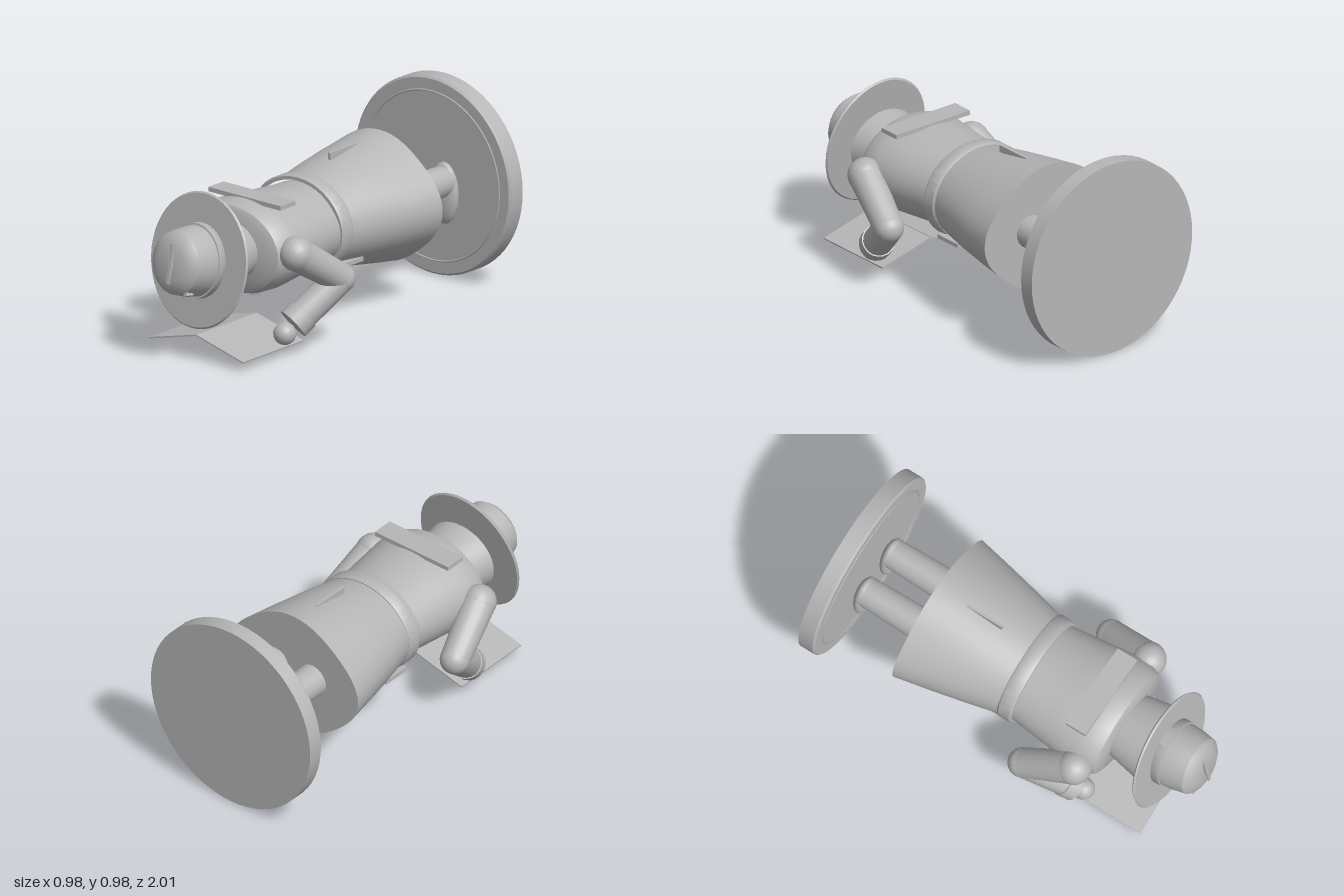
import * as THREE from 'three';
import { toCreasedNormals } from 'three/addons/utils/BufferGeometryUtils.js';

export function createModel() {
  const model = new THREE.Group();
  model.name = 'recliningReaderFigure';
  const gray = new THREE.MeshStandardMaterial({ color: 0xb6b6b6 });
  gray.name = 'plain gray';

  // The figure is built standing (y up, facing +z) and then laid face down.
  const figure = new THREE.Group();
  figure.name = 'figure';
  figure.rotation.x = Math.PI / 2;
  figure.position.set(0, 0.49, -1);
  model.add(figure);

  const add = (name, geo, x = 0, y = 0, z = 0, parent = figure) => {
    const m = new THREE.Mesh(geo, gray);
    m.name = name;
    m.position.set(x, y, z);
    parent.add(m);
    return m;
  };
  const box = (name, w, h, d, x, y, z, parent) =>
    add(name, new THREE.BoxGeometry(w, h, d), x, y, z, parent);
  const ball = (name, r, p, sx = 1, sy = 1, sz = 1) => {
    const m = add(name, new THREE.SphereGeometry(r, 20, 14), p.x, p.y, p.z);
    m.scale.set(sx, sy, sz);
    return m;
  };
  // Turned part with an elliptical section; profile runs bottom to top.
  const turned = (name, profile, depth, parent, segs = 40) => {
    const geo = new THREE.LatheGeometry(profile.map(([r, y]) => new THREE.Vector2(r, y)), segs);
    geo.scale(1, 1, depth);
    return add(name, toCreasedNormals(geo, 0.6), 0, 0, 0, parent);
  };
  const limb = (name, a, b, ra, rb) => {
    const m = add(name, new THREE.CylinderGeometry(rb, ra, a.distanceTo(b), 18));
    m.position.copy(a).lerp(b, 0.5);
    m.quaternion.setFromUnitVectors(new THREE.Vector3(0, 1, 0), b.clone().sub(a).normalize());
    return m;
  };
  const V = (x, y, z) => new THREE.Vector3(x, y, z);

  // Base disc with a fine decorative ring
  turned('base', [[0, 0], [0.49, 0], [0.49, 0.08], [0.48, 0.09], [0, 0.09]], 1, figure, 64);
  const ring = add('baseRing', new THREE.TorusGeometry(0.42, 0.005, 6, 64), 0, 0.09, 0);
  ring.rotation.x = Math.PI / 2;

  // Coat skirt: folds deepen toward the hem
  const skirt = turned('coatSkirt', [[0, 0.47], [0.395, 0.47], [0.36, 0.64], [0.32, 0.82], [0.275, 1.0]], 0.82, figure, 64);
  const pos = skirt.geometry.attributes.position;
  for (let i = 0; i < pos.count; i++) {
    const x = pos.getX(i), z = pos.getZ(i);
    const fold = 0.035 * Math.max(0, (1 - pos.getY(i)) / 0.53);
    const s = 1 - fold * (1 - Math.cos(4 * Math.atan2(z / 0.82, x)));
    pos.setXYZ(i, x * s, pos.getY(i), z * s);
  }
  skirt.geometry = toCreasedNormals(skirt.geometry, 0.6);

  // Belt, torso and flared collar
  turned('belt', [[0.26, 0.985], [0.28, 0.985], [0.287, 0.995], [0.287, 1.055], [0.28, 1.065], [0.26, 1.065]], 0.835);
  turned('torso', [[0.268, 1.0], [0.27, 1.08], [0.29, 1.25], [0.31, 1.42], [0.305, 1.5], [0.285, 1.535], [0.25, 1.55], [0, 1.55]], 0.74);
  turned('collar', [[0.165, 1.53], [0.2, 1.71], [0.18, 1.71], [0, 1.69]], 0.85);
  ball('head', 0.14, V(0, 1.7, 0.01), 1, 1.1, 0.95);

  // Hat, tipped forward-up
  const hat = new THREE.Group();
  hat.name = 'hat';
  hat.position.set(0, 1.775, 0);
  hat.rotation.x = -0.165;
  figure.add(hat);
  turned('hatBrim', [[0, -0.008], [0.293, -0.008], [0.3, 0], [0.293, 0.008], [0, 0.008]], 1.1, hat, 48);
  turned('hatBand', [[0.164, 0], [0.167, 0.005], [0.166, 0.05], [0.158, 0.05]], 1.1, hat);
  turned('hatCrown', [[0.163, 0], [0.158, 0.1], [0.145, 0.175], [0.125, 0.195], [0.085, 0.215], [0, 0.205]], 1.06, hat);
  box('crownCrease', 0.018, 0.02, 0.2, 0, 0.21, 0, hat);
  for (const s of [-1, 1]) {
    const pinch = box('crownPinch', 0.02, 0.05, 0.03, s * 0.075, 0.15, 0.132, hat);
    pinch.rotation.y = s * 0.45;
  }

  // Back yoke and vent
  box('backYoke', 0.45, 0.11, 0.022, 0, 1.395, -0.224);
  box('backVent', 0.014, 0.2, 0.035, 0, 0.735, -0.282);

  // Front closure, buckle and buttons
  box('torsoPlacket', 0.015, 0.4, 0.02, 0, 1.27, 0.218);
  const placket = box('skirtPlacket', 0.02, 0.27, 0.02, 0, 0.865, 0.25);
  placket.rotation.x = 0.08;
  box('beltBuckle', 0.09, 0.06, 0.02, 0, 1.025, 0.24);

  for (const s of [-1, 1]) {
    for (const y of [1.12, 1.23, 1.34]) {
      const button = add('button', new THREE.CylinderGeometry(0.018, 0.018, 0.02, 14), s * 0.08, y, 0.205);
      button.rotation.x = Math.PI / 2;
    }
    const lapel = box('lapel', 0.07, 0.16, 0.02, s * 0.07, 1.42, 0.215);
    lapel.rotation.z = -s * 0.35;
    box('pocketFlap', 0.1, 0.15, 0.02, s * 0.19, 0.94, 0.17);

    // Legs and shoes
    limb('leg', V(s * 0.115, 0.13, -0.01), V(s * 0.115, 0.6, -0.01), 0.075, 0.085);
    ball('shoe', 1, V(s * 0.115, 0.135, 0.05), 0.085, 0.042, 0.155);

    // Bent arm reaching forward to the paper
    const shoulder = V(s * 0.325, 1.45, -0.02);
    const elbow = V(s * 0.385, 1.2, 0.15);
    const wrist = V(s * 0.285, 1.42, 0.34);
    const hand = V(s * 0.265, 1.465, 0.387);
    ball('shoulder', 0.085, shoulder);
    limb('upperArm', shoulder, elbow, 0.083, 0.072);
    ball('elbow', 0.073, elbow);
    limb('forearm', elbow, wrist, 0.072, 0.075);
    limb('cuff', elbow.clone().lerp(wrist, 0.8), wrist.clone().lerp(hand, 0.1), 0.08, 0.082);
    ball('hand', 0.055, hand);

    // Half of the folded newspaper, with printed rules on its outer side
    const page = new THREE.Group();
    page.name = 'newspaperPage';
    page.position.set(s * 0.147, 1.58, 0.407);
    page.rotation.y = -s * 0.25;
    figure.add(page);
    box('paperSheet', 0.3, 0.44, 0.007, 0, 0, 0, page);
    for (let i = 0; i < 7; i++)
      box('printedRule', 0.22, 0.016, 0.006, 0, -0.165 + i * 0.055, 0.005, page);
  }
  return model;
}
